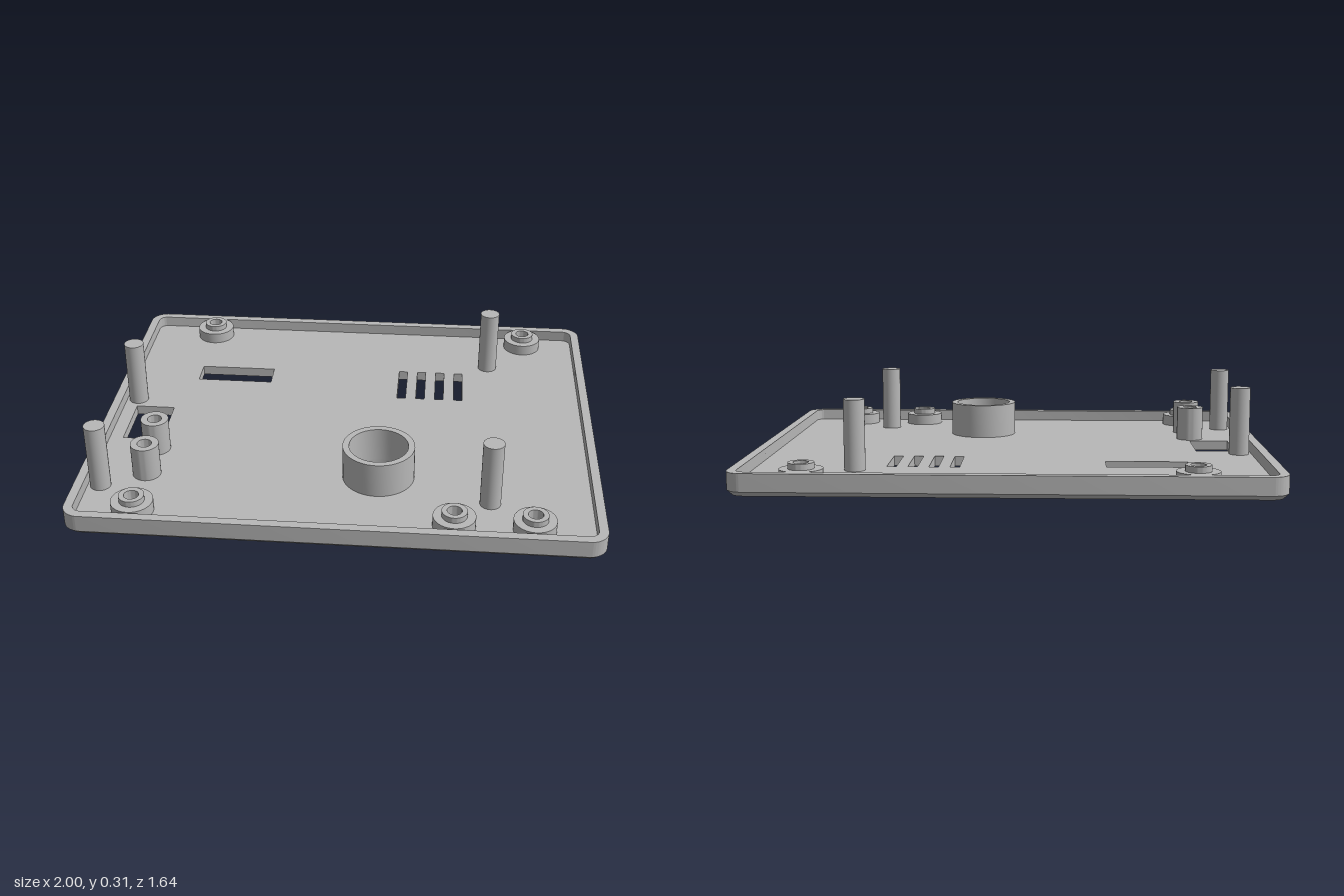
import * as THREE from 'three';
import { toCreasedNormals } from 'three/addons/utils/BufferGeometryUtils.js';

const W = 1, D = 0.82, R = 0.07;        // half width, half depth, corner radius
const FLOOR = 0.04, RIM = 0.085, WALL = 0.035, CH = 0.018;

// Rounded rectangle outline, inset from the full footprint
function outline(inset, Kind = THREE.Shape) {
  const w = W - inset, d = D - inset, r = Math.max(R - inset, 0.02);
  const s = new Kind();
  [[1, 1], [-1, 1], [-1, -1], [1, -1]].forEach(([sx, sy], i) =>
    s.absarc(sx * (w - r), sy * (d - r), r, i * Math.PI / 2, (i + 1) * Math.PI / 2, false));
  s.closePath();
  return s;
}

function roundHole(x, z, r) {
  return new THREE.Path().absarc(x, -z, r, 0, Math.PI * 2, true);
}

function rectHole(x0, x1, z0, z1) {
  return new THREE.Path([[x0, -z0], [x1, -z0], [x1, -z1], [x0, -z1]].map(p => new THREE.Vector2(...p)));
}

// Extrude a plan shape upward between two heights
function slab(shape, y0, y1) {
  const g = new THREE.ExtrudeGeometry(shape, { depth: y1 - y0, bevelEnabled: false, curveSegments: 24 });
  g.rotateX(-Math.PI / 2).translate(0, y0, 0);
  return toCreasedNormals(g, 0.5);
}

// Sloped strip joining the bottom face to the outer wall
function chamferGeometry() {
  const low = outline(CH).getPoints(24), high = outline(0).getPoints(24), pos = [];
  for (let i = 0; i < low.length; i++) {
    const j = (i + 1) % low.length;
    const a = [low[i].x, 0, -low[i].y], b = [low[j].x, 0, -low[j].y];
    const c = [high[j].x, CH, -high[j].y], d = [high[i].x, CH, -high[i].y];
    pos.push(...a, ...b, ...c, ...a, ...c, ...d);
  }
  const g = new THREE.BufferGeometry();
  g.setAttribute('position', new THREE.Float32BufferAttribute(pos, 3));
  g.computeVertexNormals();
  return toCreasedNormals(g, 0.5);
}

// Turned part from [radius, height] pairs, outside first
function turned(profile) {
  const g = new THREE.LatheGeometry(profile.map(p => new THREE.Vector2(...p)), 48);
  return toCreasedNormals(g.toNonIndexed(), 0.5);
}

export function createModel() {
  const group = new THREE.Group();
  group.name = 'enclosureLid';
  const grey = new THREE.MeshStandardMaterial({ color: 0xb8b8b8 });
  grey.name = 'grey plastic';
  grey.side = THREE.DoubleSide;

  const add = (name, geometry, x = 0, z = 0) => {
    const m = new THREE.Mesh(geometry, grey);
    m.name = name;
    m.position.set(x, 0, z);
    group.add(m);
  };

  const bosses = [[-0.685, -0.71], [0.74, -0.71], [-0.755, 0.7], [0.445, 0.7], [0.74, 0.7]];
  const spacers = [[-0.755, 0.275], [-0.755, 0.455]];
  const pegs = [[-0.915, -0.1], [-0.915, 0.55], [0.58, -0.5], [0.58, 0.55]];
  const collar = [0.148, 0.4];

  // Floor with screw holes, windows and vents
  const floor = outline(CH);
  bosses.forEach(([x, z]) => floor.holes.push(roundHole(x, z, 0.05)));
  spacers.forEach(([x, z]) => floor.holes.push(roundHole(x, z, 0.028)));
  floor.holes.push(roundHole(...collar, 0.115));
  floor.holes.push(rectHole(-0.69, -0.37, -0.405, -0.29));
  floor.holes.push(rectHole(-0.91, -0.75, -0.04, 0.21));
  for (let i = 0; i < 4; i++) {
    const x = 0.19 + i * 0.081;
    floor.holes.push(rectHole(x, x + 0.037, -0.43, -0.2));
  }
  add('floor', slab(floor, 0, FLOOR));

  // Raised rim and lower chamfer
  const rim = outline(0);
  rim.holes.push(outline(WALL, THREE.Path));
  add('rim', slab(rim, CH, RIM));
  add('chamfer', chamferGeometry());

  // Stepped screw bosses, counterbored from below
  const boss = turned([[0.08, FLOOR], [0.08, RIM], [0.048, RIM], [0.048, 0.108],
    [0.028, 0.108], [0.028, 0.06], [0.05, 0.06], [0.05, FLOOR]]);
  bosses.forEach(([x, z]) => add('screwBoss', boss, x, z));

  // Hollow spacers and the large collar
  const tube = (ro, ri, top) => turned([[ro, FLOOR], [ro, top], [ri, top], [ri, FLOOR]]);
  const spacer = tube(0.055, 0.028, 0.178);
  spacers.forEach(([x, z]) => add('spacer', spacer, x, z));
  add('collar', tube(0.14, 0.115, 0.18), ...collar);

  // Tall locating pegs
  const peg = new THREE.CylinderGeometry(0.04, 0.04, 0.31 - FLOOR, 48).translate(0, (0.31 + FLOOR) / 2, 0);
  pegs.forEach(([x, z]) => add('peg', peg, x, z));

  return group;
}
